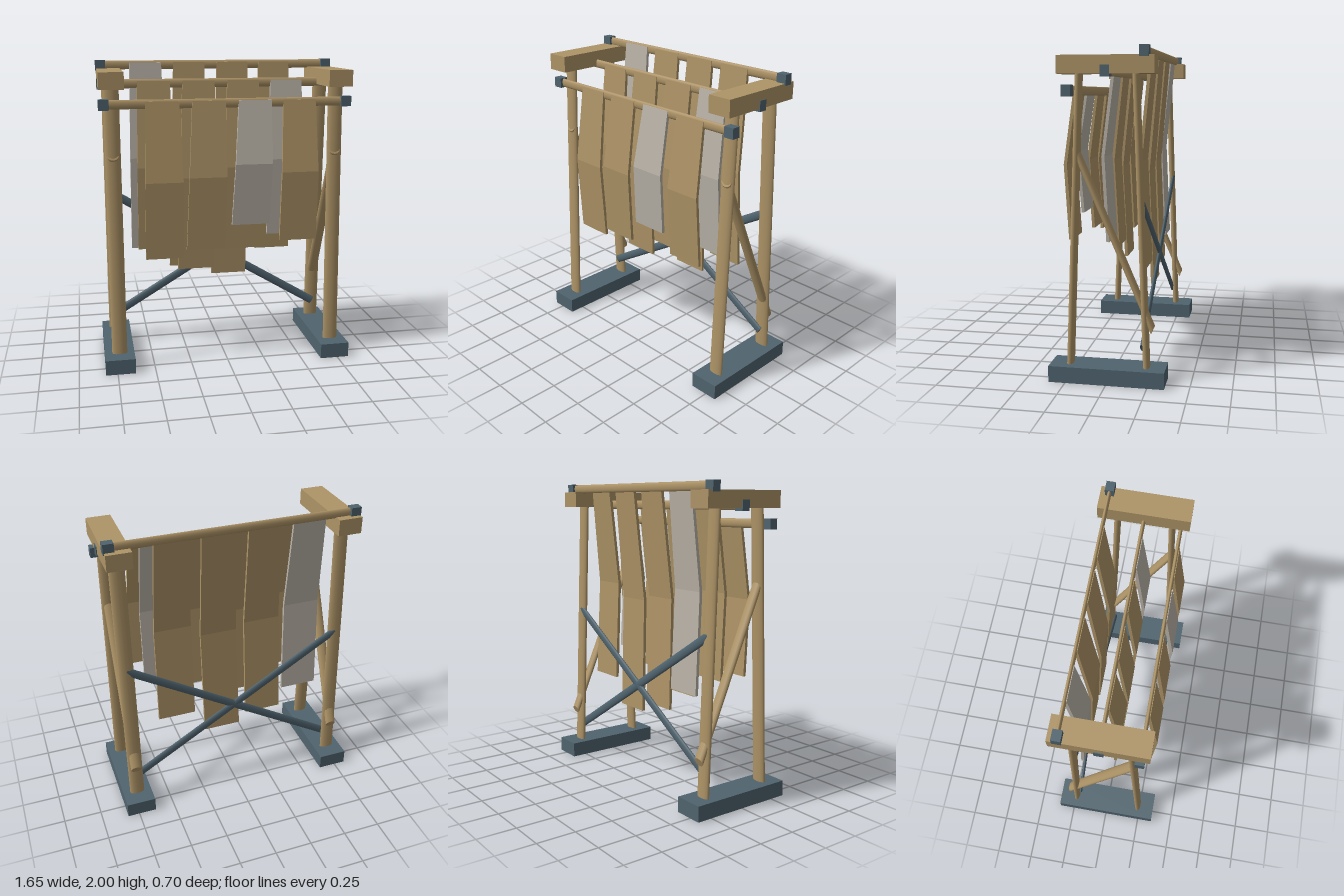
import * as THREE from 'three';

const mat = (name, color) => {
  const m = new THREE.MeshStandardMaterial({ color });
  m.name = name;
  return m;
};

export function createModel() {
  const model = new THREE.Group();
  const wood = mat('wood', 0xae9467);
  const slate = mat('slate', 0x50646f);
  const pale = mat('pale cloth', 0xbab3a8);
  const DEPTH = 0.42; // poles are oval: flattened along z

  const add = (name, geo, material, parent = model) => {
    const mesh = new THREE.Mesh(geo, material);
    mesh.name = name;
    parent.add(mesh);
    return mesh;
  };
  const box = (name, size, pos, material) =>
    add(name, new THREE.BoxGeometry(...size), material).position.set(...pos);

  // Pole between two points, round before the depth flattening
  const poles = new THREE.Group();
  poles.name = 'poles';
  poles.scale.z = DEPTH;
  model.add(poles);
  const pole = (name, from, to, radius, material) => {
    const a = new THREE.Vector3(...from), b = new THREE.Vector3(...to);
    a.z /= DEPTH;
    b.z /= DEPTH;
    const dir = b.clone().sub(a);
    const mesh = add(name, new THREE.CylinderGeometry(radius, radius, dir.length(), 12), material, poles);
    mesh.position.copy(a).add(b).multiplyScalar(0.5);
    mesh.quaternion.setFromUnitVectors(new THREE.Vector3(0, 1, 0), dir.normalize());
  };

  // Side frames
  for (const s of [-1, 1]) {
    const x = s * 0.73;
    box('foot', [0.195, 0.1, 0.705], [x, 0.05, 0], slate);
    box('topBeam', [0.156, 0.106, 0.57], [x, 1.893, 0], wood);
    pole('frontLeg', [x, 0.09, 0.235], [x, 1.86, 0.168], 0.05, wood);
    pole('backLeg', [x, 0.09, -0.235], [x, 1.86, -0.168], 0.05, wood);
    pole('sideBrace', [x, 1.42, 0.2], [x, 0.33, -0.272], 0.037, wood);
    pole('crossBrace', [-x, 0.215, -0.206], [x, 1.095, -0.206], 0.029, slate);
  }

  // Hanging strip, folded forward at half its length
  const strip = (xTop, xLow, yTop, yLow, z, material) => {
    const geo = new THREE.BoxGeometry(1, 1, 0.02, 1, 2, 1).toNonIndexed();
    const p = geo.attributes.position;
    for (let i = 0; i < p.count; i++) {
      const t = 0.5 - p.getY(i);
      const width = 0.213 + 0.037 * Math.min(1, t * 1.6);
      const bulge = t < 0.25 ? 0.004 : t < 0.75 ? 0.067 : 0.037;
      p.setXYZ(i,
        xTop + (xLow - xTop) * t + p.getX(i) * width,
        yTop + (yLow - yTop) * t,
        z + bulge + p.getZ(i));
    }
    geo.computeVertexNormals();
    add('hangingStrip', geo, material);
  };

  // Three rails with end caps, four strips on each
  const rails = [
    { y: 1.967, z: -0.226, shift: 0, pale: 0, lows: [0.70, 0.555, 0.48, 0.655] },
    { y: 1.857, z: 0, shift: 0.031, pale: 3, lows: [0.755, 0.60, 0.73, 0.82] },
    { y: 1.745, z: 0.228, shift: 0.062, pale: 2, lows: [0.75, 0.80, 0.955, 0.835] },
  ];
  const tops = [-0.479, -0.183, 0.116, 0.407];
  const leans = [0, -0.03, -0.03, 0];
  for (const r of rails) {
    pole('rail', [-0.78, r.y, r.z], [0.78, r.y, r.z], 0.029, wood);
    for (const s of [-1, 1]) box('railCap', [0.066, 0.066, 0.055], [s * 0.78, r.y, r.z], slate);
    r.lows.forEach((low, i) => {
      const x = tops[i] + r.shift;
      strip(x, x + leans[i], r.y + 0.016, low, r.z, i === r.pale ? pale : wood);
    });
  }
  return model;
}
